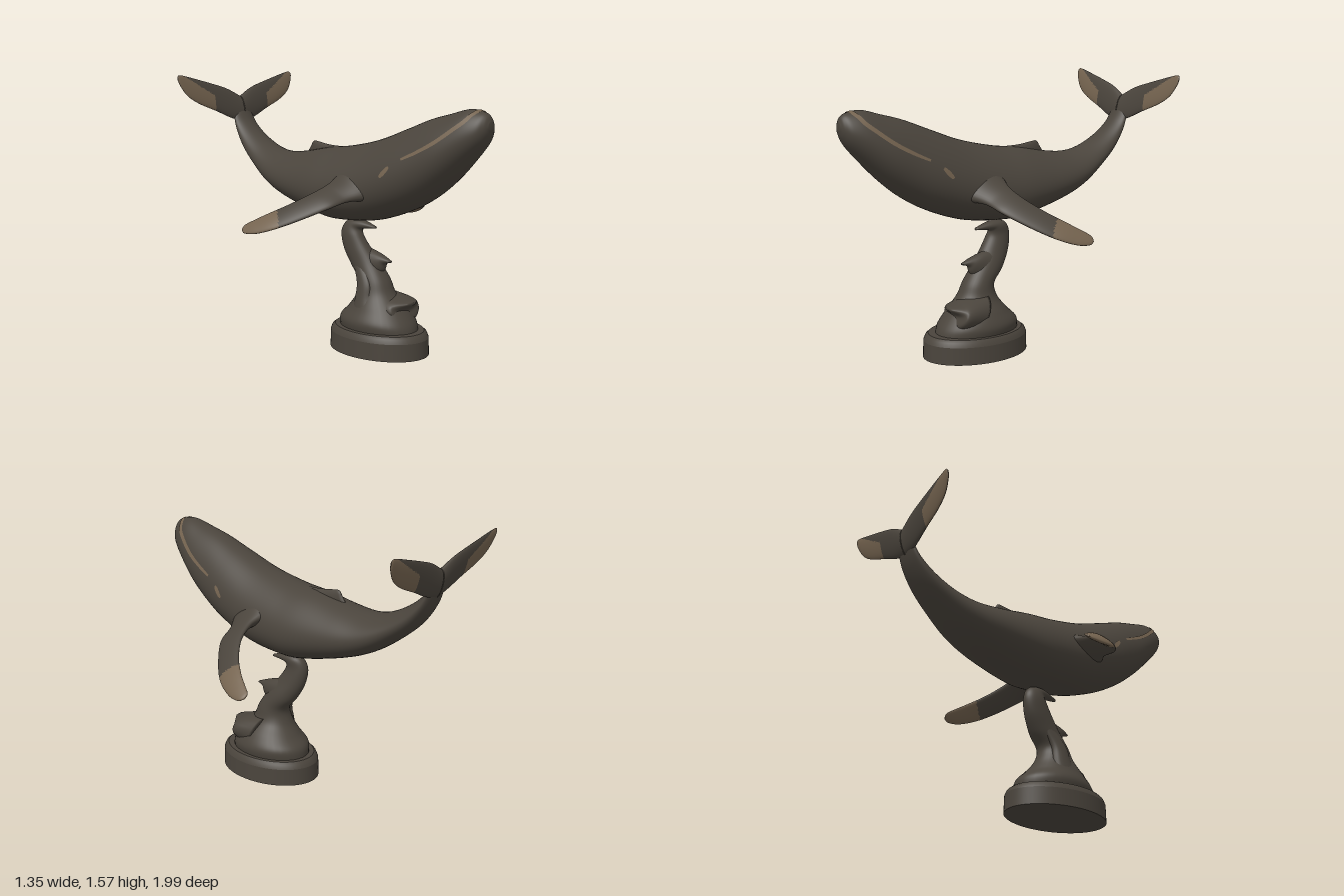
import * as THREE from 'three';

const V = (x, y, z) => new THREE.Vector3(x, y, z);

// Surface between two rails. Each section: [ax,ay,az, bx,by,bz, halfThickness].
// Returns point(t, angle): angle 0 lies on rail a, PI on rail b.
function railSurface(sections, normal, egg = 0) {
  const curve = (f) => new THREE.CatmullRomCurve3(sections.map(f), false, 'catmullrom', 0.5);
  const a = curve((s) => V(s[0], s[1], s[2]));
  const b = curve((s) => V(s[3], s[4], s[5]));
  const w = curve((s, i) => V(s[6], i, 0));
  const n = normal.clone().normalize();
  const point = (t, ang) => {
    const pa = a.getPoint(t), pb = b.getPoint(t);
    const mid = pa.clone().add(pb).multiplyScalar(0.5);
    const c = Math.cos(ang);
    const wide = w.getPoint(t).x * Math.sin(ang) * (1 - egg * c);
    return mid.clone().add(pa.sub(mid).multiplyScalar(c)).addScaledVector(n, wide);
  };
  point.railA = a;
  return point;
}

// Closed smooth skin over a rail surface; isPale(centroid) picks the second material.
function skin(point, rows, cols, isPale = () => false) {
  const pts = [];
  for (let i = 0; i <= rows; i++)
    for (let j = 0; j < cols; j++) pts.push(point(i / rows, (j / cols) * Math.PI * 2));
  const tris = [];
  const at = (i, j) => i * cols + (j % cols);
  for (let i = 0; i < rows; i++)
    for (let j = 0; j < cols; j++) {
      const p = at(i, j), q = at(i, j + 1), r = at(i + 1, j + 1), s = at(i + 1, j);
      tris.push([p, q, r], [p, r, s]);
    }
  // end caps
  for (const i of [0, rows]) {
    const c = pts.push(point(i / rows, 0).add(point(i / rows, Math.PI)).multiplyScalar(0.5)) - 1;
    for (let j = 0; j < cols; j++)
      tris.push(i ? [at(i, j), at(i, j + 1), c] : [at(i, j + 1), at(i, j), c]);
  }
  // turn faces outward
  let volume = 0;
  for (const [p, q, r] of tris) volume += pts[p].dot(pts[q].clone().cross(pts[r]));
  if (volume < 0) tris.forEach((t) => t.reverse());
  const dark = [], pale = [];
  for (const t of tris) {
    const c = V(0, 0, 0);
    t.forEach((k) => c.addScaledVector(pts[k], 1 / 3));
    (isPale(c) ? pale : dark).push(...t);
  }
  const geo = new THREE.BufferGeometry().setFromPoints(pts);
  geo.setIndex([...dark, ...pale]);
  geo.addGroup(0, dark.length, 0);
  if (pale.length) geo.addGroup(dark.length, pale.length, 1);
  geo.computeVertexNormals();
  return geo;
}

// Thin painted band following a surface; path gives [z, angle].
function band(surface, path, steps, halfWidth) {
  const curve = new THREE.CatmullRomCurve3(path.map(([z, a]) => V(z, a, 0)));
  const onSkin = (z, a) => {
    let lo = 0, hi = 0.6;
    for (let k = 0; k < 30; k++) {
      const m = (lo + hi) / 2;
      if (surface.railA.getPoint(m).z > z) lo = m; else hi = m;
    }
    return surface(lo, a);
  };
  const pts = [], index = [];
  for (let i = 0; i <= steps; i++) {
    const u = i / steps;
    const q = curve.getPoint(u);
    const q0 = curve.getPoint(Math.max(0, u - 0.01)), q1 = curve.getPoint(Math.min(1, u + 0.01));
    const tangent = onSkin(q1.x, q1.y).sub(onSkin(q0.x, q0.y)).normalize();
    const dz = onSkin(q.x + 0.005, q.y).sub(onSkin(q.x - 0.005, q.y));
    const da = onSkin(q.x, q.y + 0.02).sub(onSkin(q.x, q.y - 0.02));
    const n = da.cross(dz).normalize();
    const p = onSkin(q.x, q.y);
    if (n.dot(p.clone().sub(V(0, 1.15, p.z))) < 0) n.negate();
    const side = n.clone().cross(tangent);
    const w = halfWidth * Math.pow(Math.sin(Math.PI * (0.03 + 0.94 * u)), 0.3);
    for (const k of [-1, 1])
      pts.push(p.clone().addScaledVector(side, k * w).addScaledVector(n, 0.004));
    if (i) {
      const e = i * 2;
      index.push(e - 2, e, e - 1, e, e + 1, e - 1);
    }
  }
  const geo = new THREE.BufferGeometry().setFromPoints(pts);
  geo.setIndex(index);
  geo.computeVertexNormals();
  return geo;
}

export function createModel() {
  const model = new THREE.Group();
  const bronze = new THREE.MeshStandardMaterial({ color: 0x4a443c });
  bronze.name = 'dark bronze';
  const tan = new THREE.MeshStandardMaterial({ color: 0x74634f, side: THREE.DoubleSide });
  tan.name = 'worn tan';
  const add = (name, geo, mat = [bronze, tan]) => {
    const mesh = new THREE.Mesh(geo, mat);
    mesh.name = name;
    model.add(mesh);
    return mesh;
  };
  const X = V(1, 0, 0);
  // centred section: x, front z/y, back z/y, half width
  const sec = (x, az, ay, bz, by, w) => [x, ay, az, x, by, bz, w];

  // body: back line, belly line, half width
  const body = railSurface([
    [1, 1.375, 1, 1.335, 0.02], [0.985, 1.407, 0.985, 1.29, 0.05], [0.95, 1.425, 0.95, 1.235, 0.085],
    [0.87, 1.435, 0.87, 1.15, 0.123], [0.75, 1.405, 0.75, 1.035, 0.162], [0.62, 1.37, 0.62, 0.935, 0.187],
    [0.46, 1.31, 0.46, 0.85, 0.213], [0.25, 1.235, 0.25, 0.78, 0.232], [0.03, 1.187, 0.03, 0.756, 0.24],
    [-0.15, 1.165, -0.12, 0.765, 0.235], [-0.34, 1.13, -0.4, 0.835, 0.203], [-0.5, 1.115, -0.58, 0.91, 0.167],
    [-0.63, 1.135, -0.74, 1.02, 0.13], [-0.76, 1.195, -0.84, 1.11, 0.105], [-0.86, 1.27, -0.91, 1.21, 0.085],
    [-0.91, 1.34, -0.945, 1.3, 0.07], [-0.937, 1.4, -0.962, 1.38, 0.04],
  ].map(([az, ay, bz, by, w]) => sec(0, az, ay, bz, by, w)), X, 0.18);
  add('body', skin(body, 112, 56));

  // mouth line running over the snout, and eye patches
  const half = [[0.555, 1.39], [0.65, 1.39], [0.755, 1.34], [0.865, 1.15], [0.915, 0.7]];
  const other = half.map(([z, a]) => [z, -a]).reverse();
  add('mouthLine', band(body, [...half, [0.935, 0], ...other], 120, 0.013), tan);
  for (const s of [1, -1])
    add(s > 0 ? 'leftEyePatch' : 'rightEyePatch',
      band(body, [[0.482, s * 1.45], [0.455, s * 1.53], [0.428, s * 1.61]], 12, 0.013), tan);

  // dorsal fin
  add('dorsalFin', skin(railSurface([
    [-0.06, 1.175, 0.03], [-0.16, 1.178, 0.025], [-0.25, 1.19, 0.02], [-0.29, 1.192, 0.015],
    [-0.31, 1.165, 0.014], [-0.345, 1.115, 0.012],
  ].map(([z, y, w]) => sec(0, z, y, z, 1.07, w)), X), 30, 16));

  for (const s of [1, -1]) {
    const label = s > 0 ? 'left' : 'right';
    // flipper: leading edge, trailing edge; the right one rides slightly higher
    const lift = (x) => (s < 0 ? 0.04 * Math.max(0, x - 0.2) / 0.47 : 0);
    const flipper = [
      [0.14, 0.93, 0.36, 0.14, 1.04, 0.06, 0.09], [0.22, 0.925, 0.315, 0.22, 1.01, 0.09, 0.055],
      [0.3, 0.91, 0.268, 0.3, 0.98, 0.108, 0.032], [0.41, 0.87, 0.235, 0.4, 0.93, 0.08, 0.024],
      [0.53, 0.8, 0.135, 0.5, 0.865, 0.005, 0.02], [0.615, 0.745, 0.035, 0.57, 0.81, -0.08, 0.018],
      [0.662, 0.708, -0.07, 0.608, 0.77, -0.145, 0.016], [0.675, 0.7, -0.15, 0.632, 0.742, -0.188, 0.011],
      [0.665, 0.712, -0.185, 0.65, 0.725, -0.193, 0.004],
    ].map(([a, b, c, d, e, f, w]) => [s * a, b + lift(a), c, s * d, e + lift(d), f, w]);
    add(label + 'Flipper', skin(railSurface(flipper, V(s * 0.55, 0.77, 0.3)), 90, 32,
      (c) => c.z < 0.06 + 1.27 * (Math.abs(c.x) - 0.615)));

    // tail fluke: trailing edge on top, leading edge below
    const zAt = (y) => -0.932 - (y - 1.31) * 0.22;
    const fluke = [
      [0, 1.43, 1.27, 0.03], [0.1, 1.48, 1.3, 0.022], [0.205, 1.512, 1.345, 0.017],
      [0.33, 1.545, 1.395, 0.014], [0.41, 1.565, 1.445, 0.011], [0.452, 1.571, 1.505, 0.008],
      [0.465, 1.56, 1.54, 0.003],
    ].map(([x, up, low, w]) => [s * x, up, zAt(up), s * x, low, zAt(low), w]);
    add(label + 'Fluke', skin(railSurface(fluke, V(0, 0.2, 1)), 90, 48,
      (c) => Math.abs(c.x) > 0.215 && c.y < 1.44 + (Math.abs(c.x) - 0.21) * 0.6));
  }

  // oval plinth
  const profile = [[0, 0], [1, 0], [1, 0], [0.99, 0.1], [0.99, 0.1], [0.955, 0.125], [0.9, 0.138], [0.9, 0.138], [0, 0.14]];
  const plinth = new THREE.LatheGeometry(profile.map(([r, y]) => new THREE.Vector2(r, y)), 64);
  plinth.scale(0.233, 1, 0.326);
  plinth.translate(0.057, 0, 0.185);
  add('plinth', plinth, bronze);

  // wave column rising from the plinth and curling forward under the belly
  add('waveColumn', skin(railSurface([
    sec(0.06, 0.44, 0.12, -0.08, 0.12, 0.18), sec(0.06, 0.42, 0.18, -0.07, 0.19, 0.19),
    sec(0.06, 0.36, 0.26, -0.01, 0.25, 0.155), sec(0.05, 0.29, 0.34, 0.045, 0.32, 0.108),
    sec(0.05, 0.25, 0.42, 0.065, 0.4, 0.088), sec(0.045, 0.18, 0.52, 0.0, 0.48, 0.075),
    sec(0.03, 0.12, 0.6, -0.055, 0.58, 0.062), sec(0.022, 0.08, 0.66, -0.07, 0.68, 0.052),
    sec(0.03, 0.07, 0.695, -0.03, 0.745, 0.045), sec(0.035, 0.1, 0.705, 0.06, 0.755, 0.035),
    sec(0.04, 0.17, 0.712, 0.165, 0.727, 0.012),
  ], X), 70, 36));

  // curling crests on the front of the column
  add('upperCrest', skin(railSurface([
    sec(0.05, 0.16, 0.4, 0.06, 0.6, 0.06), sec(0.055, 0.22, 0.47, 0.14, 0.582, 0.045),
    sec(0.055, 0.235, 0.51, 0.21, 0.56, 0.03), sec(0.055, 0.275, 0.525, 0.275, 0.535, 0.01),
  ], X), 24, 20));
  add('lowerCrest', skin(railSurface([
    sec(0.09, 0.25, 0.13, 0.15, 0.36, 0.13), sec(0.1, 0.37, 0.18, 0.28, 0.335, 0.13),
    sec(0.1, 0.36, 0.25, 0.34, 0.318, 0.1), sec(0.1, 0.4, 0.288, 0.4, 0.305, 0.035),
  ], X), 24, 28));

  // side ridge of water
  add('sideRidge', skin(railSurface([
    [-0.07, 0.14, 0.3, -0.07, 0.14, 0.08, 0.05], [-0.04, 0.3, 0.22, -0.04, 0.3, 0.09, 0.04],
    [-0.025, 0.41, 0.19, -0.025, 0.4, 0.09, 0.03], [0.0, 0.53, 0.1, 0.0, 0.52, 0.03, 0.02],
  ], X), 24, 20));

  return model;
}
